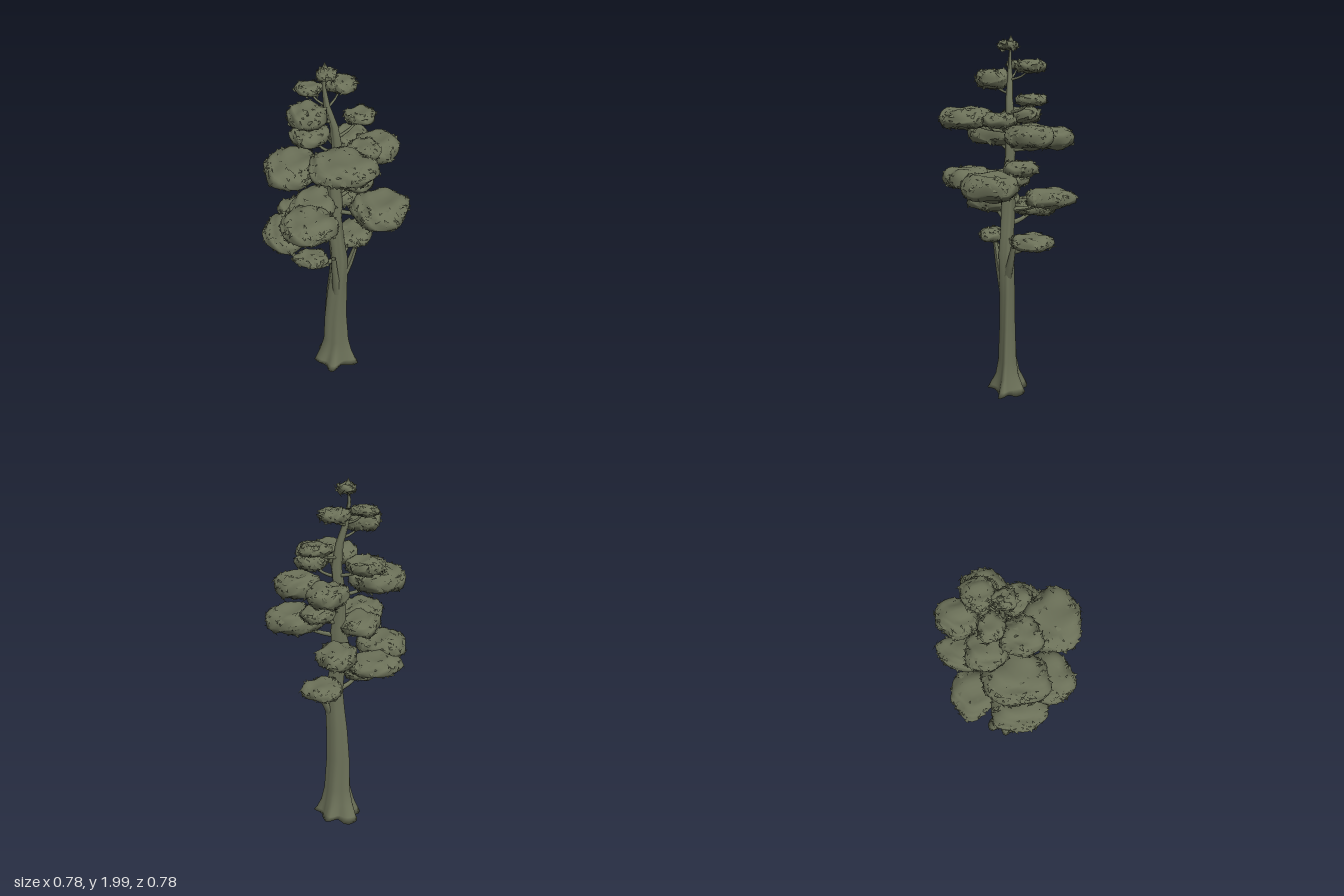
import * as THREE from 'three';
import { mergeVertices } from 'three/addons/utils/BufferGeometryUtils.js';

const olive = new THREE.MeshStandardMaterial({ color: 0x6b7058, side: THREE.DoubleSide });
olive.name = 'olive';

// Small seeded random generator
let seed = 7;
const rand = () => (seed = (seed * 16807) % 2147483647) / 2147483647;
const spread = (a) => (rand() * 2 - 1) * a;
const V = (x, y, z) => new THREE.Vector3(x, y, z);

function add(parent, geometry, name) {
  const mesh = new THREE.Mesh(geometry, olive);
  mesh.name = name;
  parent.add(mesh);
  return mesh;
}

// Skin a list of rings (arrays of points, bottom to top) and cap both ends
function loft(rings) {
  const n = rings[0].length, pos = [], index = [];
  rings.forEach((r) => r.forEach((p) => pos.push(p.x, p.y, p.z)));
  for (let i = 0; i < rings.length - 1; i++) {
    for (let j = 0; j < n; j++) {
      const a = i * n + j, b = i * n + (j + 1) % n;
      index.push(a, a + n, b, b, a + n, b + n);
    }
  }
  [0, rings.length - 1].forEach((k) => {
    const c = V(0, 0, 0);
    rings[k].forEach((p) => c.addScaledVector(p, 1 / n));
    const ci = pos.length / 3;
    pos.push(c.x, c.y, c.z);
    for (let j = 0; j < n; j++) {
      const a = k * n + j, b = k * n + (j + 1) % n;
      if (k) index.push(a, ci, b); else index.push(a, b, ci);
    }
  });
  const g = new THREE.BufferGeometry();
  g.setAttribute('position', new THREE.Float32BufferAttribute(pos, 3));
  g.setIndex(index);
  g.computeVertexNormals();
  return g;
}

// Trunk stations: [y, centre x, centre z, radius x, radius z]
const STATIONS = [
  [0.015, -0.02, -0.015, 0.118, 0.098], [0.045, -0.02, -0.015, 0.108, 0.088],
  [0.11, -0.018, -0.013, 0.09, 0.063], [0.2, -0.015, -0.012, 0.073, 0.05],
  [0.4, -0.017, -0.01, 0.065, 0.043], [0.6, -0.008, -0.01, 0.057, 0.041],
  [0.72, 0.002, -0.008, 0.052, 0.041], [0.84, 0.008, -0.006, 0.046, 0.041],
  [0.95, -0.005, -0.008, 0.042, 0.037], [1.1, -0.028, -0.01, 0.05, 0.039],
  [1.2, -0.01, -0.012, 0.038, 0.034], [1.38, -0.025, -0.022, 0.032, 0.027],
  [1.55, -0.005, -0.024, 0.027, 0.024], [1.67, -0.02, -0.018, 0.021, 0.02],
  [1.78, -0.055, -0.015, 0.016, 0.015], [1.88, -0.068, -0.012, 0.009, 0.009],
  [1.97, -0.066, -0.018, 0.005, 0.005],
];

function trunkCentre(y) {
  let i = 0;
  while (i < STATIONS.length - 2 && STATIONS[i + 1][0] < y) i++;
  const [a, b] = [STATIONS[i], STATIONS[i + 1]];
  const t = (y - a[0]) / (b[0] - a[0]);
  return V(a[1] + (b[1] - a[1]) * t, y, a[2] + (b[2] - a[2]) * t);
}

// Fluted trunk whose ridges spread into ragged roots at the foot
function trunkGeometry() {
  const sides = 36;
  return loft(STATIONS.map(([y, cx, cz, rx, rz]) => {
    const flare = 0.06 + 0.18 * Math.exp(-y * 11);
    return Array.from({ length: sides }, (_, j) => {
      const a = (j / sides) * Math.PI * 2, t = a + y * 0.7;
      const k = 1 + flare * (Math.sin(t * 5 + 0.6) + 0.4 * Math.sin(t * 3 + 2) + 0.3 * Math.sin(t * 9));
      const lift = y < 0.03 ? 0.01 * Math.sin(t * 5 + 2) : 0;
      return V(cx + Math.cos(a) * rx * k, y + lift, cz + Math.sin(a) * rz * k);
    });
  }));
}

// Tapering limb along a rising curve
function limbGeometry(from, to, r0, r1) {
  const mid = from.clone().lerp(to, 0.55);
  mid.y -= 0.015;
  const curve = new THREE.CatmullRomCurve3([from, mid, to]);
  const tube = new THREE.TubeGeometry(curve, 6, 1, 7);
  const p = tube.attributes.position, q = V(0, 0, 0);
  for (let i = 0; i < p.count; i++) {
    const t = Math.floor(i / 8) / 6, c = curve.getPointAt(t);
    q.fromBufferAttribute(p, i).sub(c).multiplyScalar(r0 + (r1 - r0) * t).add(c);
    p.setXYZ(i, q.x, q.y, q.z);
  }
  tube.computeVertexNormals();
  return tube;
}

// Surface rule of a foliage pad: lobed rim, flatter underside, soft lumps
function padPoint(d, phase) {
  const a = Math.atan2(d.z, d.x), flat = Math.max(Math.hypot(d.x, d.z), 1e-6);
  const rim = 1 + 0.06 * flat * (Math.sin(a * 3 + phase) + 0.6 * Math.sin(a * 5 + phase * 2.3));
  const bump = 0.1 * Math.sin(d.x * 5 + phase) * Math.sin(d.z * 5 - phase) + 0.05 * Math.sin(d.y * 7 + d.x * 9 + phase);
  const r = Math.pow(flat, -0.23) * rim * (1 + bump * 0.4);
  const y = Math.sign(d.y) * Math.pow(Math.abs(d.y), 0.82) * (d.y < 0 ? 0.88 : 1) + bump * 1.6;
  return V(d.x * r, y, d.z * r);
}

function padGeometry(size, phase) {
  const ball = new THREE.IcosahedronGeometry(1, 6);
  ball.deleteAttribute('uv');
  ball.deleteAttribute('normal');
  const g = mergeVertices(ball, 1e-4), p = g.attributes.position;
  for (let i = 0; i < p.count; i++) {
    const q = padPoint(V(0, 0, 0).fromBufferAttribute(p, i), phase).multiply(size);
    p.setXYZ(i, q.x, q.y, q.z);
  }
  g.computeVertexNormals();
  return g;
}

// Ragged leaf flakes lying along the pad surface
function flakeGeometry(size, phase, count) {
  const pos = [];
  for (let i = 0; i < count; i++) {
    const d = V(spread(1), spread(0.8), spread(1)).normalize();
    const c = padPoint(d, phase).multiply(size);
    const out = d.clone().divide(size).normalize();
    const u = V(spread(1), spread(1), spread(1)).cross(out).normalize();
    const v = out.clone().cross(u);
    const s = 0.012 + rand() * 0.02;
    [[-0.4, -0.5, -0.003], [0.5, -0.2, 0.002], [0.1, 0.9, 0.008]].forEach(([a, b, h]) => {
      const q = c.clone().addScaledVector(u, a * s).addScaledVector(v, b * s).addScaledVector(out, h);
      pos.push(q.x, q.y, q.z);
    });
  }
  const g = new THREE.BufferGeometry();
  g.setAttribute('position', new THREE.Float32BufferAttribute(pos, 3));
  g.computeVertexNormals();
  return g;
}

// Foliage pads: [x, y, z, radius x, y, z]
const PADS = [
  [-0.125, 0.902, 0.1, 0.095, 0.036, 0.07], [0.055, 0.91, -0.155, 0.11, 0.042, 0.115],
  [-0.245, 1.078, 0.11, 0.135, 0.062, 0.155], [-0.215, 1.06, -0.135, 0.14, 0.048, 0.125],
  [-0.03, 1.14, -0.235, 0.105, 0.052, 0.135], [-0.105, 1.225, 0.23, 0.145, 0.062, 0.14],
  [0.23, 1.235, 0.035, 0.15, 0.07, 0.15], [0.085, 1.315, -0.095, 0.09, 0.04, 0.09],
  [-0.125, 1.222, 0.04, 0.115, 0.05, 0.15], [-0.215, 1.465, 0.085, 0.145, 0.065, 0.165],
  [0.175, 1.49, -0.16, 0.12, 0.062, 0.12], [0.02, 1.47, -0.255, 0.105, 0.058, 0.11],
  [0.06, 1.57, 0.2, 0.17, 0.056, 0.145], [-0.16, 1.575, -0.07, 0.1, 0.045, 0.1],
  [0.09, 1.67, -0.15, 0.078, 0.03, 0.08], [0.13, 1.565, 0.01, 0.085, 0.04, 0.085],
  [-0.13, 1.768, 0.09, 0.095, 0.054, 0.095], [-0.15, 1.845, -0.04, 0.068, 0.026, 0.06],
  [-0.005, 1.838, -0.135, 0.078, 0.034, 0.078], [-0.053, 1.945, -0.002, 0.048, 0.024, 0.055],
];

export function createModel() {
  const tree = new THREE.Group();
  tree.name = 'tree';
  add(tree, trunkGeometry(), 'trunk');

  PADS.forEach(([x, y, z, rx, ry, rz], i) => {
    const size = V(rx, ry, rz), phase = i * 1.7;
    const bough = new THREE.Group();
    bough.name = 'bough';
    tree.add(bough);
    const r = 0.028 - 0.011 * y;
    if (y < 1.9) add(bough, limbGeometry(trunkCentre(y - 0.07), V(x, y - ry * 0.2, z), r, r * 0.5), 'limb');
    add(bough, padGeometry(size, phase), 'foliagePad').position.set(x, y, z);
    add(bough, flakeGeometry(size, phase, Math.round(60 + 4500 * rx * rz)), 'leafFlakes').position.set(x, y, z);
  });

  // Pointed leader and the two low forks that hug the trunk
  const tip = add(tree, new THREE.ConeGeometry(0.028, 0.055, 7), 'leaderTip');
  tip.position.set(-0.064, 1.9725, -0.018);
  add(tree, limbGeometry(V(0, 0.6, 0.01), V(-0.01, 0.89, 0.06), 0.026, 0.013), 'frontFork');
  add(tree, limbGeometry(V(0.025, 0.7, -0.015), V(0.09, 0.89, -0.06), 0.026, 0.014), 'backFork');
  return tree;
}
